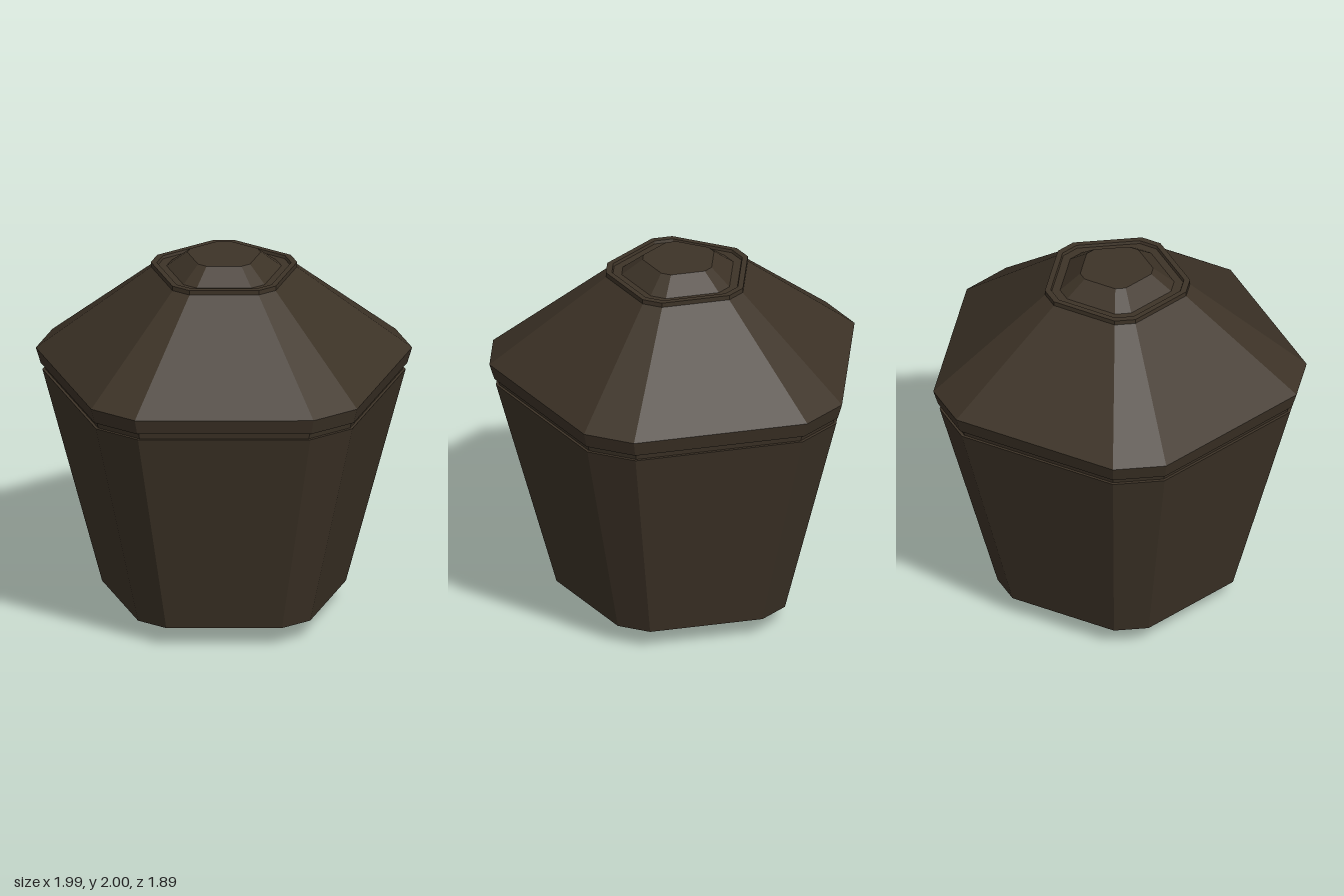
import * as THREE from 'three';

// Ten corners: a regular pentagon pointing to the back, with each corner cut off.
const BEVEL = 8.1;
const CENTRE_Z = 0.048;
const angles = [];
for (let i = 0; i < 5; i++) {
  for (const s of [-1, 1]) angles.push(THREE.MathUtils.degToRad(i * 72 + s * BEVEL));
}

// Lofts the cut pentagon along a profile of [radius, y] points, from bottom to top.
function loft(profile) {
  const pos = [];
  const point = ([r, y], i) => {
    const a = angles[i % 10];
    return [r * Math.sin(a), y, CENTRE_Z - r * Math.cos(a)];
  };
  for (let k = 0; k < profile.length - 1; k++) {
    const lo = profile[k], hi = profile[k + 1];
    for (let i = 0; i < 10; i++) {
      const a = point(lo, i + 1), b = point(lo, i), c = point(hi, i), d = point(hi, i + 1);
      if (lo[0] > 0) pos.push(...a, ...b, ...c);
      if (hi[0] > 0) pos.push(...a, ...c, ...d);
    }
  }
  const geo = new THREE.BufferGeometry();
  geo.setAttribute('position', new THREE.Float32BufferAttribute(pos, 3));
  geo.computeVertexNormals();
  return geo;
}

export function createModel() {
  const group = new THREE.Group();
  group.name = 'urn';
  const darkBrown = new THREE.MeshStandardMaterial({ color: 0x3d3327 });
  darkBrown.name = 'darkBrown';

  const parts = {
    // tapered vessel with a sloped foot
    body: [[0, 0], [0.342, 0.005], [0.653, 0.108], [0.973, 1.285], [0, 1.285]],
    // recessed seam between vessel and lid
    seam: [[0.955, 1.28], [0.965, 1.325]],
    // lid with a slanted lip and a sloping roof
    lid: [[0, 1.32], [0.982, 1.32], [1.008, 1.405], [0.388, 1.905]],
    // raised rim around the knob, open in the middle
    collar: [[0.37, 1.9], [0.392, 1.905], [0.392, 1.93], [0.36, 1.93], [0.355, 1.915], [0, 1.915]],
    // faceted knob on top
    knob: [[0.312, 1.912], [0.197, 2], [0, 2]],
  };
  for (const [name, profile] of Object.entries(parts)) {
    const mesh = new THREE.Mesh(loft(profile), darkBrown);
    mesh.name = name;
    group.add(mesh);
  }
  return group;
}
